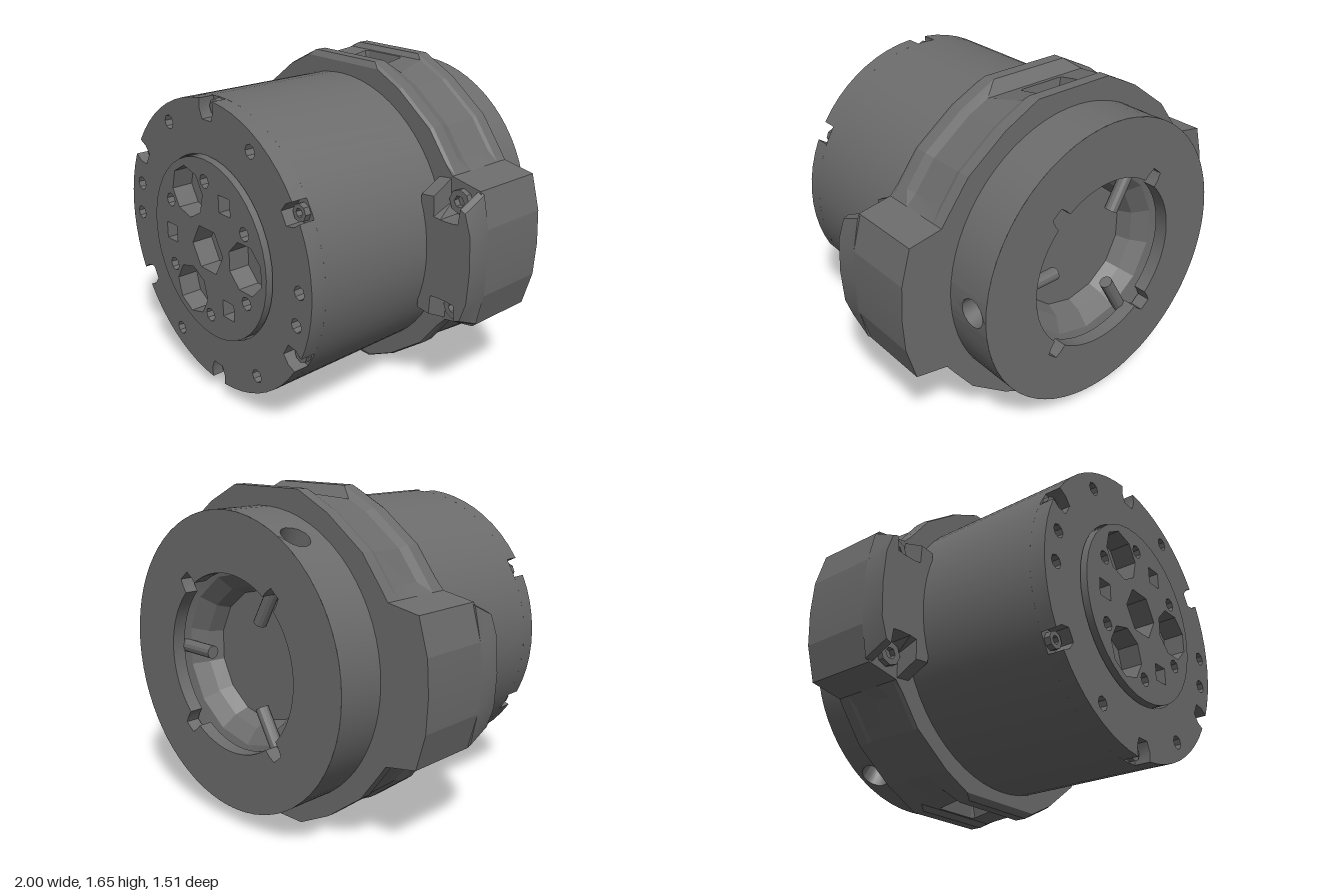
import * as THREE from 'three';
import { toCreasedNormals } from 'three/addons/utils/BufferGeometryUtils.js';

const material = new THREE.MeshStandardMaterial({ color: 0x6c6c6c, side: THREE.DoubleSide });
const TAU = Math.PI * 2;
const polar = (r, a) => new THREE.Vector2(r * Math.cos(a), r * Math.sin(a));

function add(parent, name, geometry, crease = 0.5) {
  const mesh = new THREE.Mesh(toCreasedNormals(geometry, crease), material);
  mesh.name = name;
  parent.add(mesh);
  return mesh;
}

// Regular polygon centred at polar position (dist, angle)
function polygon(n, r, dist = 0, angle = 0, turn = 0) {
  const c = polar(dist, angle);
  return Array.from({ length: n }, (_, i) => polar(r, turn + (i / n) * TAU).add(c));
}

// Circle of radius R whose edge steps to radius rn at each notch angle
function notchedCircle(R, rn, halfWidth, angles) {
  const pts = [];
  angles.forEach((a, k) => {
    const next = k + 1 < angles.length ? angles[k + 1] : angles[0] + TAU;
    const d = halfWidth / R, dn = halfWidth / rn;
    pts.push(polar(rn, a - dn * 0.7), polar(rn, a + dn * 0.7), polar((R + rn) / 2, a + dn));
    const steps = Math.max(2, Math.round((next - a) * 9));
    for (let i = 0; i <= steps; i++) pts.push(polar(R, a + d + ((next - a - 2 * d) * i) / steps));
    pts.push(polar((R + rn) / 2, next - dn));
  });
  return pts;
}

// Plate with holes between two depths
function plate(outline, holes, z0, z1) {
  const shape = new THREE.Shape(outline);
  holes.forEach((h) => shape.holes.push(new THREE.Path(h)));
  const g = new THREE.ExtrudeGeometry(shape, { depth: z1 - z0, bevelEnabled: false });
  return g.translate(0, 0, z0);
}

// Cylinder along z between two depths
function rod(r, z0, z1, n = 64, open = false, start = 0, length = TAU) {
  const g = new THREE.CylinderGeometry(r, r, z1 - z0, n, 1, open, start, length);
  return g.rotateX(Math.PI / 2).translate(0, 0, (z0 + z1) / 2);
}

function screwHead(parent, x, y, z, r) {
  const head = add(parent, 'screwHead', plate(polygon(8, r), [polygon(6, r * 0.5)], 0, 0.03));
  head.position.set(x, y, z);
}

// Mounting flange: one outline lofted through several depths
function flangeGeometry() {
  const quarter = [[1, 0], [0.99, 0.17], [0.94, 0.345], [0.77, 0.375], [0.73, 0.43], [0.62, 0.575],
    [0.41, 0.73], [0.22, 0.825], [0.13, 0.825], [0.11, 0.825], [0, 0.825]];
  const half = [...quarter, ...quarter.slice(0, -1).reverse().map(([x, y]) => [-x, y])].slice(0, -1);
  const outline = [...half, ...half.map(([x, y]) => [-x, -y])];
  // depth, waist scale of the top and bottom flats, pocket depth
  const rings = [[-0.51, 1, 0], [-0.45, 1, 0], [-0.43, 0.97, 0], [-0.42, 0.968, 0], [-0.41, 0.965, 0.08],
    [-0.29, 0.94, 0.08], [-0.28, 0.937, 0], [-0.25, 0.93, 0], [-0.2, 1, 0], [-0.14, 1, 0], [-0.12, 0.965, 0]];
  const n = outline.length, pos = [], index = [];
  rings.forEach(([z, waist, pocket]) => outline.forEach(([x, y]) => {
    const ax = Math.abs(x), ay = Math.abs(y);
    const s = ay < 0.4 ? 1 : ax < 0.3 ? waist : 1 - (1 - waist) * 0.25;
    const widen = ax > 0.2 && ax < 0.3 ? 1 + (1 - waist) * 5 : 1;
    const drop = ax < 0.12 ? Math.sign(y) * pocket : 0;
    pos.push(x * (ax < 0.3 ? widen : s), y * s - drop, z);
  }));
  for (let k = 0; k + 1 < rings.length; k++) {
    for (let i = 0; i < n; i++) {
      const a = k * n + i, b = k * n + ((i + 1) % n);
      index.push(a, b, b + n, a, b + n, a + n);
    }
  }
  const last = (rings.length - 1) * n, centre = pos.length / 3;
  pos.push(0, 0, -0.51, 0, 0, -0.12);
  for (let i = 0; i < n; i++) {
    const j = (i + 1) % n;
    index.push(centre, j, i, centre + 1, last + i, last + j);
  }
  const g = new THREE.BufferGeometry();
  g.setAttribute('position', new THREE.Float32BufferAttribute(pos, 3));
  g.setIndex(index);
  g.computeVertexNormals();
  return g;
}

// Ear front with a bite for the screw at each end, tapered toward the front
function earGeometry() {
  const top = [[1, 0], [0.99, 0.17], [0.955, 0.33], [0.925, 0.345], [0.915, 0.25], [0.87, 0.2],
    [0.81, 0.2], [0.77, 0.25], [0.765, 0.37], [0.69, 0.36]];
  const pts = [...top, ...top.slice(1).reverse().map(([x, y]) => [x, -y])];
  const g = plate(pts.map(([x, y]) => new THREE.Vector2(x, y)), [], -0.13, 0);
  const p = g.attributes.position;
  for (let i = 0; i < p.count; i++) {
    if (p.getZ(i) > -0.01 && Math.abs(p.getY(i)) > 0.22) p.setY(i, p.getY(i) * 0.82);
  }
  g.computeVertexNormals();
  return g;
}

// Curved wall piece with a round hole: a flat plate bent around the z axis
function holedWall(R, halfAngle, z0, z1, holeZ, holeR) {
  const w = R * halfAngle, edge = [];
  for (let i = 0; i <= 6; i++) edge.push(new THREE.Vector2(-w + (i / 3) * w, z0));
  for (let i = 6; i >= 0; i--) edge.push(new THREE.Vector2(-w + (i / 3) * w, z1));
  const hole = polygon(14, holeR).map((p) => p.add(new THREE.Vector2(0, holeZ)));
  const g = plate(edge, [hole], -0.14, 0);
  const p = g.attributes.position;
  for (let i = 0; i < p.count; i++) {
    const c = polar(R + p.getZ(i), p.getX(i) / R);
    p.setXYZ(i, c.x, c.y, p.getY(i));
  }
  g.computeVertexNormals();
  return g;
}

export function createModel() {
  const model = new THREE.Group();
  const body = new THREE.Group();
  body.name = 'actuator';
  body.position.y = 0.83;
  model.add(body);

  // Barrel and front plate with rim notches and bolt holes
  const rim = Array.from({ length: 6 }, (_, i) => Math.PI / 6 + (i * TAU) / 6);
  add(body, 'barrel', rod(0.737, -0.15, 0.64));
  const deg = Math.PI / 180;
  const boltHoles = [0, 60, 120, 165, 180, 240, 300, 345].map((a) => polygon(8, 0.035, 0.652, a * deg));
  add(body, 'frontPlate', plate(notchedCircle(0.737, 0.64, 0.05, rim),
    [polygon(48, 0.468), ...boltHoles], 0.64, 0.72));
  rim.forEach((a) => screwHead(body, 0.69 * Math.cos(a), 0.69 * Math.sin(a), 0.64, 0.043));

  // Output disc with its hole pattern
  const discHoles = [polygon(6, 0.125)];
  rim.forEach((a) => discHoles.push(polygon(8, 0.035, 0.35, a)));
  for (let i = 0; i < 3; i++) {
    const a = (i * TAU) / 3;
    discHoles.push(polygon(8, 0.13, 0.3, a, a + Math.PI / 8));
    discHoles.push(polygon(4, 0.062, 0.31, a + Math.PI / 3, Math.PI / 4));
  }
  add(body, 'outputDisc', plate(polygon(40, 0.46), discHoles, 0.64, 0.75));

  // Flange and the two ears
  add(body, 'flange', flangeGeometry(), 0.15);
  for (const side of [0, 1]) {
    const ear = new THREE.Group();
    ear.name = side ? 'rightEar' : 'leftEar';
    ear.rotation.z = side * Math.PI;
    add(ear, 'earBlock', earGeometry());
    for (const s of [-1, 1]) screwHead(ear, 0.842, s * 0.275, -0.12, 0.06);
    body.add(ear);
  }

  // Rear collar: wall with three radial holes, each holding a pin
  const holeSpan = 0.12;
  for (let i = 0; i < 3; i++) {
    const sector = new THREE.Group();
    sector.name = 'collarSector';
    sector.rotation.z = (i * TAU) / 3;
    add(sector, 'holedWall', holedWall(0.735, holeSpan, -0.76, -0.5, -0.665, 0.072));
    // The cylinder's angle starts at the -y axis once laid along z
    add(sector, 'collarWall',
      rod(0.735, -0.76, -0.5, 20, true, Math.PI / 2 + holeSpan, TAU / 3 - 2 * holeSpan));
    const pin = add(sector, 'pin', new THREE.CylinderGeometry(0.033, 0.033, 0.38, 12).rotateZ(Math.PI / 2));
    pin.position.set(0.43, 0, -0.665);
    const seat = add(sector, 'pinSeat', new THREE.CylinderGeometry(0.072, 0.072, 0.03, 14).rotateZ(Math.PI / 2));
    seat.position.set(0.6, 0, -0.665);
    body.add(sector);
  }

  // Rear face with a notched opening, and the sloping faceted cavity behind it
  const notches = [50, 130, 230, 310].map((a) => a * deg);
  add(body, 'rearFace', plate(polygon(60, 0.6), [notchedCircle(0.44, 0.51, 0.045, notches)], -0.76, -0.69));
  add(body, 'rearRim', new THREE.RingGeometry(0.595, 0.735, 60).rotateY(Math.PI).translate(0, 0, -0.76));
  const cavity = [[0, -0.53], [0.33, -0.53], [0.36, -0.6], [0.43, -0.66], [0.56, -0.69]];
  add(body, 'cavity', new THREE.LatheGeometry(cavity.map(([r, z]) => new THREE.Vector2(r, z)), 14)
    .rotateX(Math.PI / 2), 0.2);
  return model;
}
